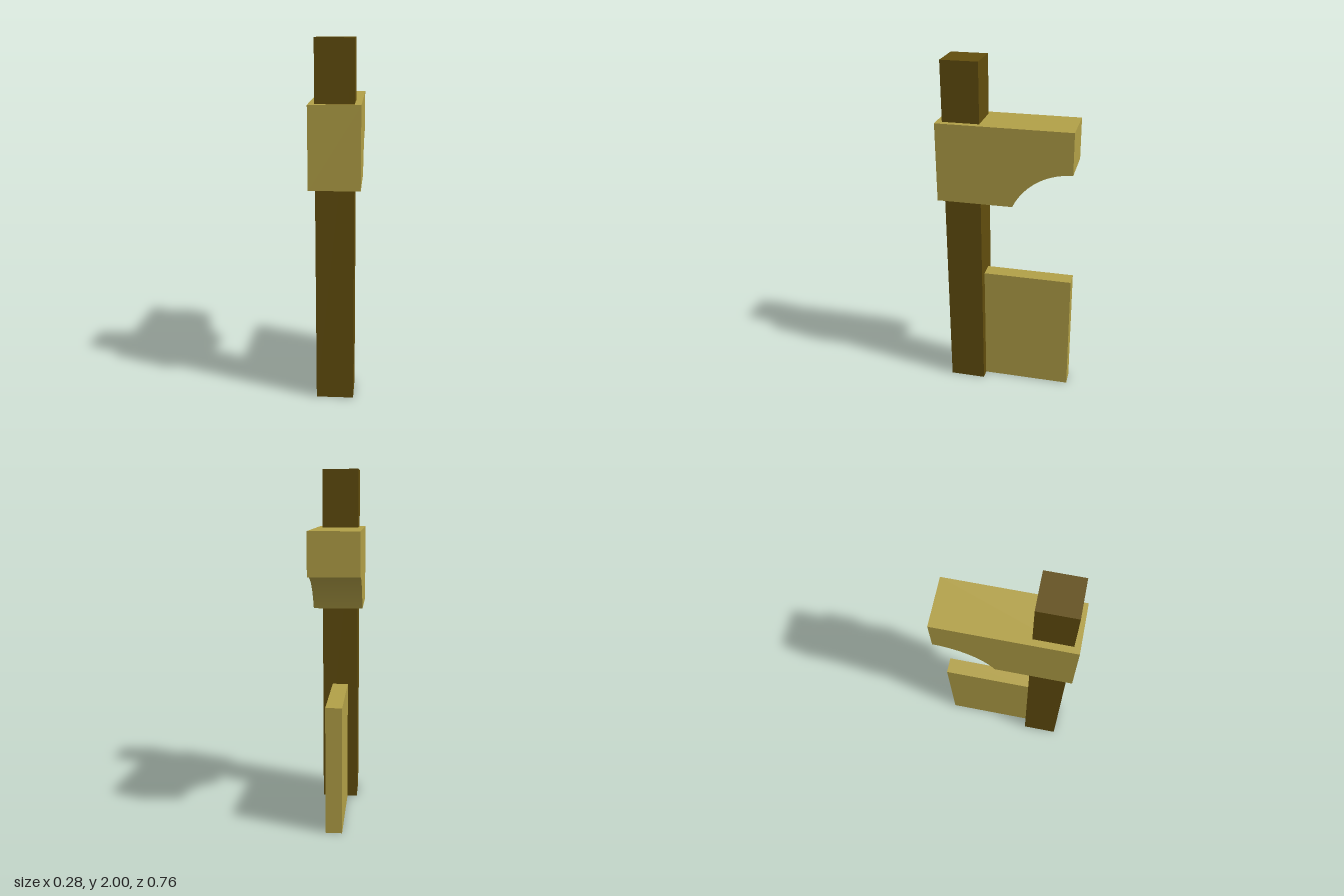
import * as THREE from 'three';
import { toCreasedNormals } from 'three/addons/utils/BufferGeometryUtils.js';

export function createModel() {
  const group = new THREE.Group();

  const darkWood = new THREE.MeshStandardMaterial({ color: 0x614d0d });
  darkWood.name = 'darkWood';
  const paleWood = new THREE.MeshStandardMaterial({ color: 0xb2a047 });
  paleWood.name = 'paleWood';

  const add = (name, geometry, material) => {
    const mesh = new THREE.Mesh(geometry, material);
    mesh.name = name;
    group.add(mesh);
    return mesh;
  };

  // Square upright post, running through the bracket
  add('post', new THREE.BoxGeometry(0.208, 2, 0.208), darkWood).position.set(0, 1, 0.243);

  // Thin panel behind the foot of the post
  add('panel', new THREE.BoxGeometry(0.092, 0.725, 0.519), paleWood).position.set(0, 0.3625, -0.1205);

  // Bracket side profile (z, y), with a concave arc cut under its back end
  const back = -0.38, front = 0.38, top = 1.667, bottom = 1.218;
  const arcStart = -0.05, arcTop = 1.43;
  const run = arcStart - back, rise = arcTop - bottom;
  const radius = (run * run + rise * rise) / (2 * rise);
  const centreY = arcTop - radius;

  const profile = new THREE.Shape();
  profile.moveTo(front, top);
  profile.lineTo(front, bottom);
  profile.lineTo(arcStart, bottom);
  profile.absarc(back, centreY, radius, Math.atan2(bottom - centreY, run), Math.PI / 2, false);
  profile.lineTo(back, top);
  profile.closePath();

  const width = 0.278;
  const bracket = new THREE.ExtrudeGeometry(profile, { depth: width, bevelEnabled: false, curveSegments: 24 });
  bracket.translate(0, 0, -width / 2);
  bracket.rotateY(-Math.PI / 2);
  add('bracket', toCreasedNormals(bracket, 0.4), paleWood);

  return group;
}
